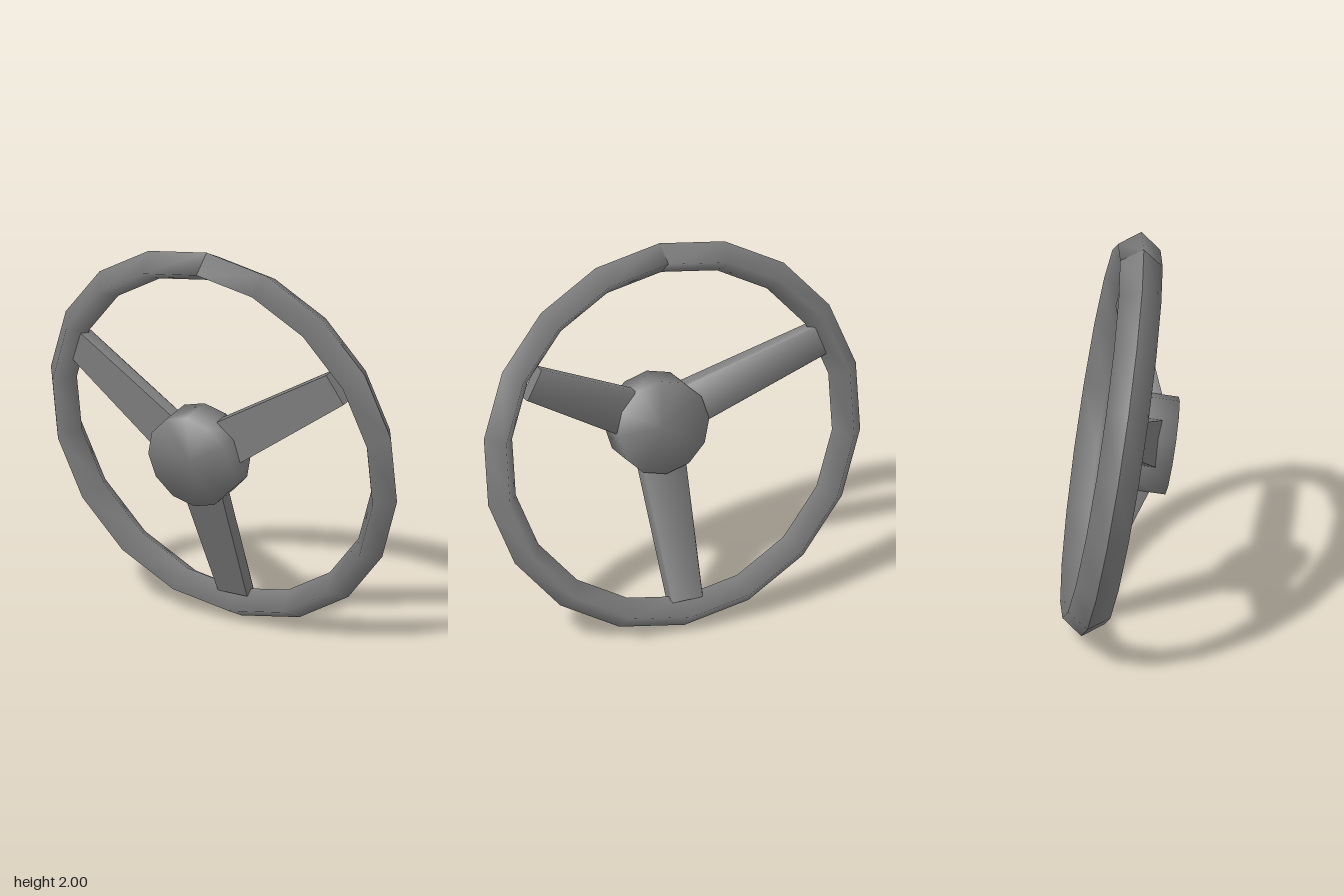
import * as THREE from 'three';
import { toCreasedNormals, mergeVertices } from 'three/addons/utils/BufferGeometryUtils.js';

const material = new THREE.MeshStandardMaterial({ color: 0x7d7d7d });

function addMesh(parent, name, geometry) {
  const mesh = new THREE.Mesh(geometry, material);
  mesh.name = name;
  parent.add(mesh);
  return mesh;
}

// Ring with a diamond section, deeper along the axis than it is wide
function rimGeometry() {
  const sides = 4, segments = 18;
  const geometry = new THREE.TorusGeometry(0.937, 0.076, sides, segments);
  geometry.scale(1, 1, 1.4);
  geometry.rotateZ(Math.PI / 2);
  // The outer ridge is a crease, softened only on the last stretch up to the top
  geometry.computeVertexNormals();
  const { position, normal } = geometry.attributes;
  for (const row of [0, sides]) {
    for (let i = segments - 2; i <= segments; i++) {
      const k = row * (segments + 1) + i;
      const n = new THREE.Vector3(position.getX(k), position.getY(k), 0).normalize();
      normal.setXYZ(k, n.x, n.y, 0);
    }
  }
  return geometry;
}

// Short drum, shaded softly across its caps
function hubGeometry() {
  const drum = new THREE.CylinderGeometry(0.245, 0.245, 0.175, 12);
  drum.rotateX(Math.PI / 2);
  drum.translate(0, 0, 0.2175);
  drum.deleteAttribute('uv');
  drum.deleteAttribute('normal');
  const geometry = mergeVertices(drum);
  geometry.computeVertexNormals();
  return geometry;
}

// Tapered bar along +x: flat front, softened back edges, sloping from hub to rim
function spokeGeometry(inner, outer) {
  const section = new THREE.Shape([
    [-1, 0], [-1, -0.85], [-0.92, -1], [0.92, -1], [1, -0.85], [1, 0],
  ].map(([x, y]) => new THREE.Vector2(x, y)));
  const geometry = new THREE.ExtrudeGeometry(section, { depth: 1, bevelEnabled: false });
  const p = geometry.attributes.position;
  for (let i = 0; i < p.count; i++) {
    const r = THREE.MathUtils.lerp(inner, outer, p.getZ(i));
    const halfWidth = 0.128 - 0.05 * r;
    const front = 0.284 - 0.282 * r;
    p.setXYZ(i, r, p.getX(i) * halfWidth, front + p.getY(i) * 0.076);
  }
  return toCreasedNormals(geometry, 1.15);
}

export function createModel() {
  const model = new THREE.Group();
  model.name = 'steeringWheel';

  // The whole wheel leans forward at the top
  const wheel = new THREE.Group();
  wheel.name = 'tiltedWheel';
  wheel.rotation.x = 0.159;
  wheel.position.set(0, 1, -0.04);
  model.add(wheel);
  addMesh(wheel, 'rim', rimGeometry());

  // Hub and spokes sit slightly off the centre of the rim
  const centre = new THREE.Group();
  centre.name = 'hubAndSpokes';
  centre.position.set(-0.008, -0.012, 0);
  wheel.add(centre);
  addMesh(centre, 'hub', hubGeometry());

  // Three spokes: name, angle in degrees, outer radius
  const spokes = [['leftSpoke', 30.3, 0.845], ['rightSpoke', 156, 0.885], ['bottomSpoke', 269.7, 0.86]];
  for (const [name, angle, outer] of spokes) {
    addMesh(centre, name, spokeGeometry(0.12, outer)).rotation.z = THREE.MathUtils.degToRad(angle);
  }
  return model;
}
